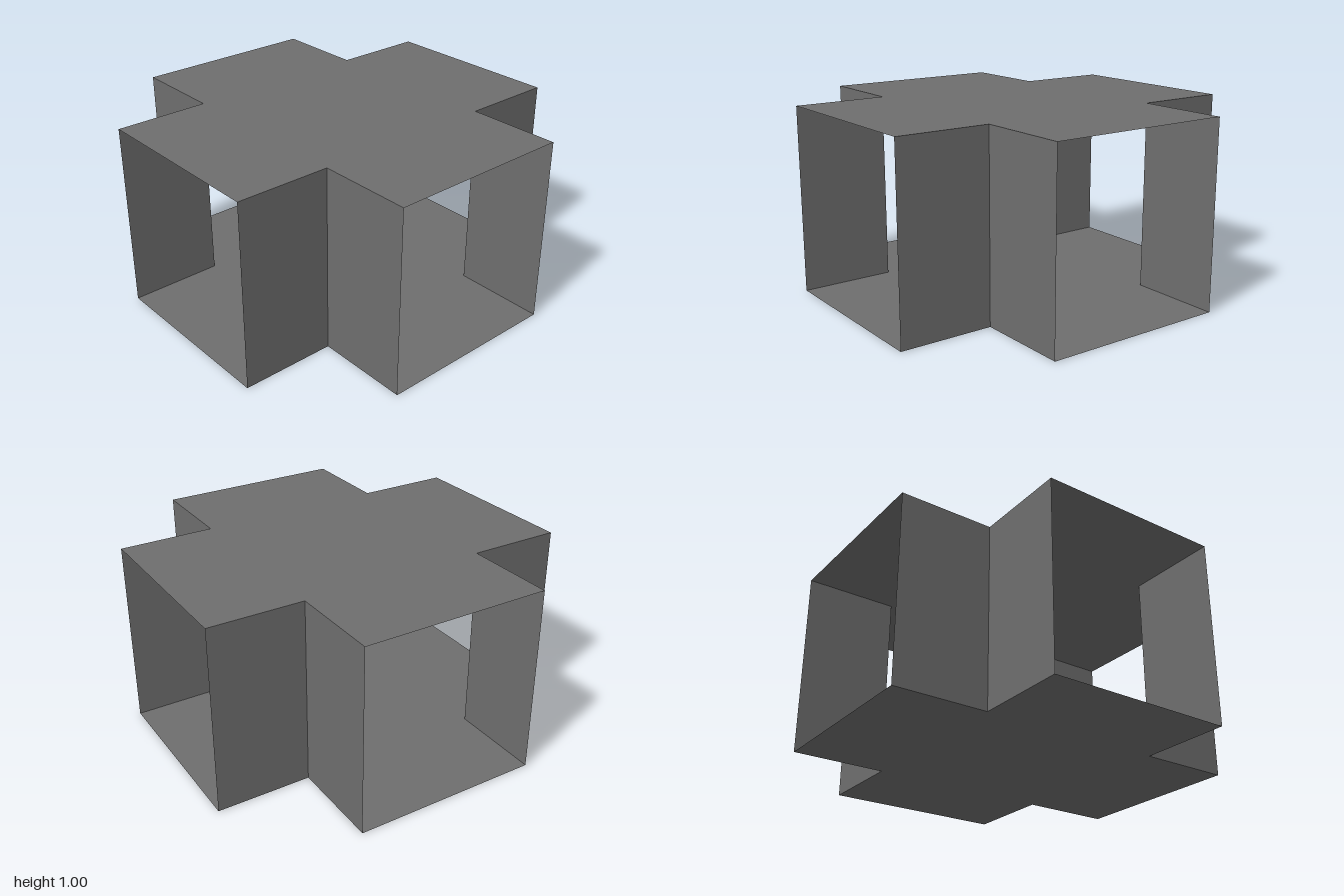
import * as THREE from 'three';

export function createModel() {
  const model = new THREE.Group();
  model.name = 'crossJunction';
  const material = new THREE.MeshStandardMaterial({
    color: 0x6e6e6e, flatShading: true, side: THREE.DoubleSide,
  });
  const half = 0.5, reach = 1, height = 1; // half passage width, arm length, wall height
  const arm = reach - half;

  const add = (parent, name, geometry) => {
    const mesh = new THREE.Mesh(geometry, material);
    mesh.name = name;
    parent.add(mesh);
    return mesh;
  };

  // Plus-shaped floor and ceiling sheets
  const outline = [];
  for (let i = 0; i < 4; i++) {
    for (const [x, y] of [[reach, -half], [reach, half], [half, half]]) {
      outline.push(new THREE.Vector2(x, y).rotateAround(new THREE.Vector2(), i * Math.PI / 2));
    }
  }
  const plus = new THREE.ShapeGeometry(new THREE.Shape(outline));
  add(model, 'floor', plus.clone().rotateX(Math.PI / 2));
  add(model, 'ceiling', plus.clone().rotateX(-Math.PI / 2)).position.y = height;

  // Four L-shaped corner walls; the ends of the arms stay open
  const wall = new THREE.PlaneGeometry(arm, height);
  for (let i = 0; i < 4; i++) {
    const corner = new THREE.Group();
    corner.name = 'cornerWalls' + (i + 1);
    add(corner, 'wallAlongX', wall).position.set(half + arm / 2, height / 2, half);
    const side = add(corner, 'wallAlongZ', wall);
    side.position.set(half, height / 2, half + arm / 2);
    side.rotation.y = Math.PI / 2;
    corner.rotation.y = i * Math.PI / 2;
    model.add(corner);
  }
  return model;
}
